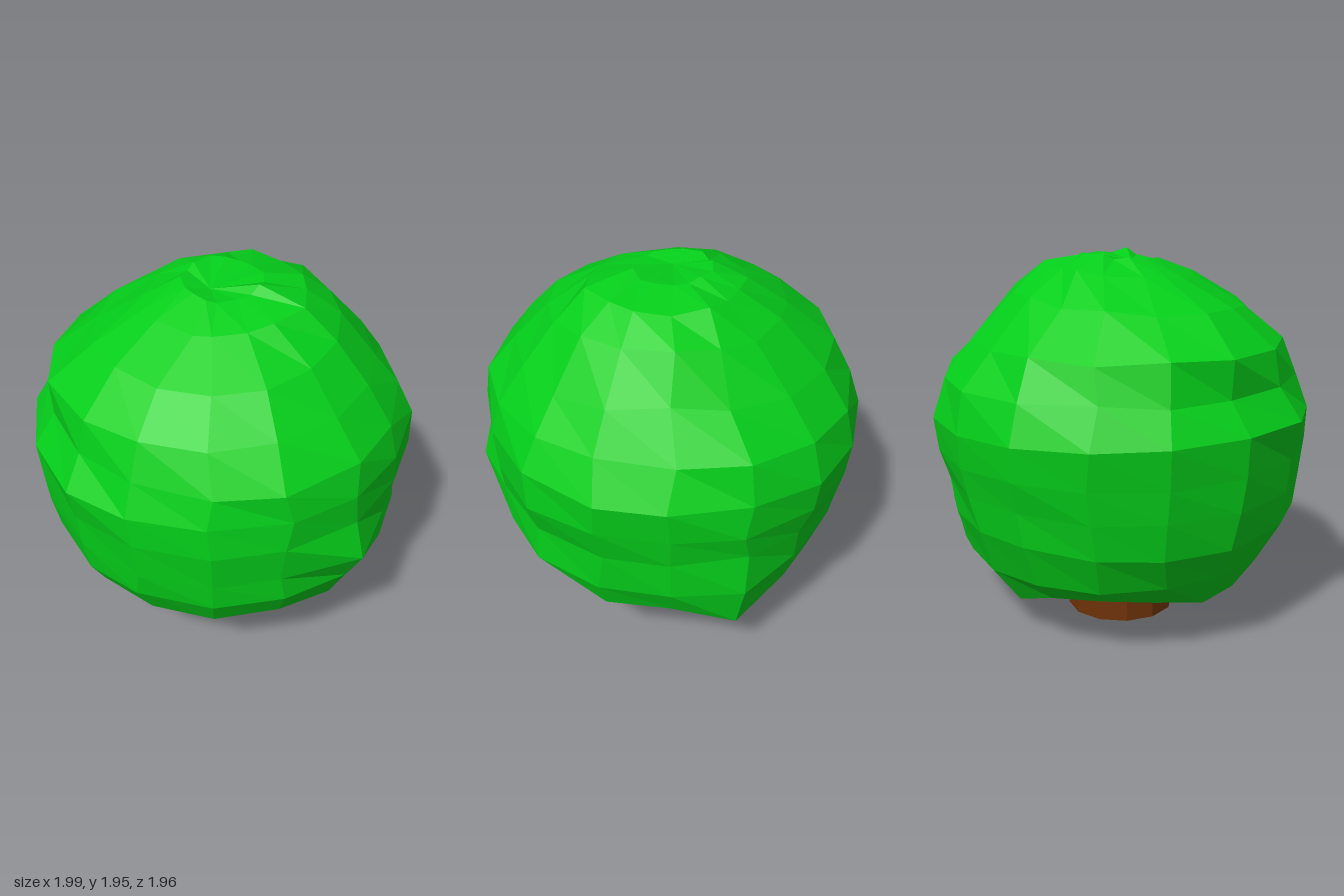
import * as THREE from 'three';

const SIDES = 16;
const TAU = Math.PI * 2;

// Leaf rings from top to bottom: radius and height toward +x, +z, -x and -z
const RINGS = [
  [[0.20, 1.94], [0.18, 1.91], [0.20, 1.92], [0.20, 1.95]],
  [[0.42, 1.89], [0.38, 1.85], [0.38, 1.84], [0.36, 1.88]],
  [[0.57, 1.79], [0.64, 1.70], [0.66, 1.69], [0.56, 1.74]],
  [[0.75, 1.55], [0.81, 1.53], [0.89, 1.51], [0.80, 1.52]],
  [[0.88, 1.37], [0.96, 1.34], [0.89, 1.33], [0.95, 1.33]],
  [[1.00, 1.19], [0.97, 1.17], [1.00, 1.15], [0.99, 1.12]],
  [[0.98, 0.99], [0.98, 1.00], [0.97, 0.95], [0.97, 0.95]],
  [[0.92, 0.82], [0.95, 0.79], [0.95, 0.78], [0.93, 0.78]],
  [[0.92, 0.57], [0.93, 0.63], [0.92, 0.60], [0.89, 0.60]],
  [[0.85, 0.43], [0.83, 0.45], [0.82, 0.42], [0.81, 0.38]],
  [[0.66, 0.27], [0.69, 0.29], [0.68, 0.22], [0.67, 0.19]],
];

// Single knobs and dents: row, side, change of radius, change of height
const BUMPS = [
  [1, 6, 0.01, 0.04], [2, 6, 0.04, 0.03], [1, 12, 0.02, 0.01],
  [3, 9, 0, 0.02], [4, 9, -0.07, 0.04], [4, 10, -0.04, 0],
  [5, 9, -0.03, 0], [6, 9, -0.04, 0], [7, 9, -0.03, 0],
  [6, 6, -0.02, 0], [6, 10, -0.02, 0], [7, 6, -0.02, 0], [7, 7, 0.02, 0],
  [6, 1, 0.02, 0], [8, 5, 0.08, 0], [8, 10, 0.02, 0],
  [9, 7, 0.03, 0.03], [9, 10, 0.04, 0], [10, 7, -0.03, 0], [10, 10, 0.06, -0.07],
  [11, 2, 0, 0.05], [11, 10, 0.04, 0.05],
  [11, 13, 0, 0.07], [11, 14, 0, 0.09], [11, 15, 0, 0.07],
];

// Repeatable noise in -1..1 for a ring, side and channel
function noise(a, b, c) {
  const s = Math.sin(a * 12.99 + b * 78.23 + c * 37.72) * 43758.55;
  return (s - Math.floor(s)) * 2 - 1;
}

// Blend radius (0) or height (1) of a ring between the four directions
function blend(ring, side, which) {
  const q = ((SIDES * 1.5 - side) % SIDES) / (SIDES / 4);
  const k = Math.floor(q);
  return THREE.MathUtils.lerp(ring[k][which], ring[(k + 1) % 4][which], q - k);
}

// Uneven ball of leaves: a sphere whose rings are moved onto the profile
function crownGeometry() {
  const rows = RINGS.length + 1;
  const geo = new THREE.SphereGeometry(1, SIDES, rows);
  const pos = geo.attributes.position;
  for (let i = 0; i < pos.count; i++) {
    const row = Math.floor(i / (SIDES + 1));
    const side = (i % (SIDES + 1)) % SIDES;
    if (row === 0) {
      pos.setXYZ(i, -0.07, 1.9, 0.02);
    } else if (row === rows) {
      pos.setXYZ(i, 0, 0.16, 0);
    } else {
      const ring = RINGS[row - 1];
      const [, , dr, dy] = BUMPS.find(b => b[0] === row && b[1] === side) ?? [0, 0, 0, 0];
      const angle = Math.PI - (side / SIDES) * TAU + noise(row, side, 1) * (row < 3 ? 0.1 : 0.03);
      const r = blend(ring, side, 0) + dr + noise(row, side, 2) * 0.008;
      const y = blend(ring, side, 1) + dy + noise(row, side, 3) * 0.015;
      pos.setXYZ(i, Math.cos(angle) * r, y, Math.sin(angle) * r);
    }
  }
  geo.computeVertexNormals();
  return geo;
}

export function createModel() {
  const tree = new THREE.Group();
  tree.name = 'roundTree';

  const crown = new THREE.Mesh(
    crownGeometry(),
    new THREE.MeshStandardMaterial({ color: 0x04ce1a, flatShading: true })
  );
  crown.name = 'crown';

  // Short trunk, its top hidden in the leaves
  const trunk = new THREE.Mesh(
    new THREE.CylinderGeometry(0.29, 0.29, 0.24, 12),
    new THREE.MeshStandardMaterial({ color: 0x6e3208, flatShading: true })
  );
  trunk.name = 'trunk';
  trunk.position.y = 0.12;

  tree.add(crown, trunk);
  return tree;
}
